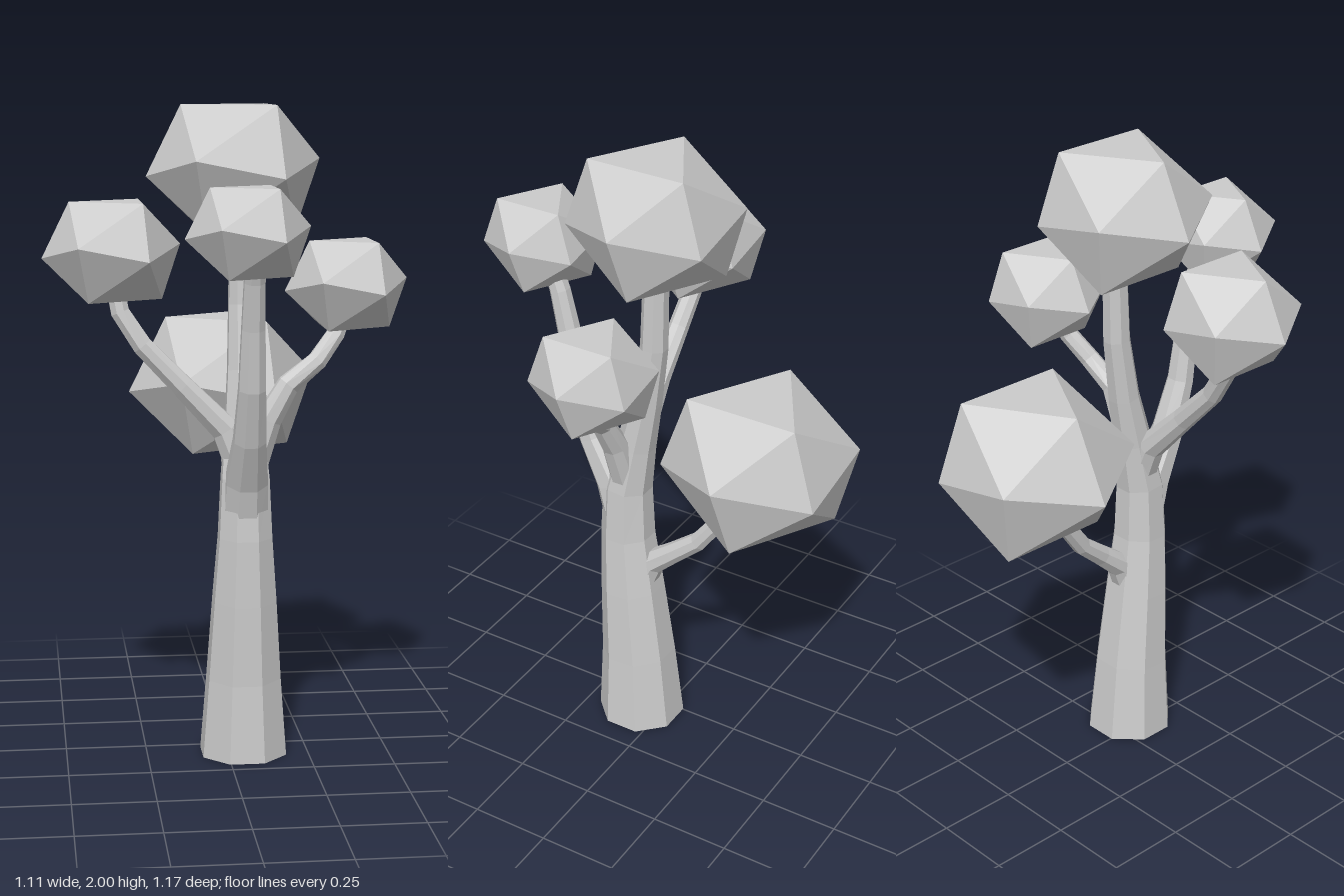
import * as THREE from 'three';
import { ConvexGeometry } from 'three/addons/geometries/ConvexGeometry.js';

const material = new THREE.MeshStandardMaterial({ color: 0xcccccc, flatShading: true });
const UP = new THREE.Vector3(0, 1, 0);

// Eight-sided limb swept along points given as [x, y, z, radius]
function limb(name, points, groundCut = false) {
  const path = points.map(p => new THREE.Vector3(p[0], p[1], p[2]));
  const last = path.length - 1;
  const geo = new THREE.CylinderGeometry(1, 1, 1, 8, last);
  geo.rotateY(Math.PI / 8);
  const frames = path.map((p, i) => {
    const tangent = path[Math.min(i + 1, last)].clone().sub(path[Math.max(i - 1, 0)]).normalize();
    return new THREE.Quaternion().setFromUnitVectors(UP, groundCut && i === 0 ? UP : tangent);
  });
  const pos = geo.attributes.position;
  const v = new THREE.Vector3();
  for (let k = 0; k < pos.count; k++) {
    v.fromBufferAttribute(pos, k);
    const i = Math.round((v.y + 0.5) * last);
    v.y = 0;
    v.multiplyScalar(points[i][3]).applyQuaternion(frames[i]).add(path[i]);
    pos.setXYZ(k, v.x, v.y, v.z);
  }
  geo.computeVertexNormals();
  const mesh = new THREE.Mesh(geo, material);
  mesh.name = name;
  return mesh;
}

// Twenty-faced foliage ball: flat top triangle, zigzag hexagon belt, flat base triangle
function foliageGeometry() {
  const pts = [
    [-0.6, 0.71, 0], [0.43, 0.71, -0.6], [0.43, 0.71, 0.6],
    [0.74, -0.71, -0.08], [-0.35, -0.71, 0.49], [-0.35, -0.71, -0.7],
  ].map(p => new THREE.Vector3(...p));
  for (let i = 0; i < 6; i++) {
    const a = i * Math.PI / 3;
    pts.push(new THREE.Vector3(Math.cos(a), i % 2 ? -0.1 : 0.1, Math.sin(a)));
  }
  return new ConvexGeometry(pts);
}

export function createModel() {
  const tree = new THREE.Group();
  tree.name = 'tree';

  // Trunk, running on as the central stem
  tree.add(limb('trunk', [
    [0.05, 0, 0.075, 0.14], [0.05, 0.25, 0.085, 0.12], [0.05, 0.5, 0.105, 0.103],
    [0.05, 0.7, 0.12, 0.087], [0.05, 0.88, 0.118, 0.078], [0.05, 1.04, 0.085, 0.062],
    [0.05, 1.2, 0.05, 0.05], [0.05, 1.4, 0.02, 0.043], [0.05, 1.72, 0.01, 0.038],
  ], true));

  // Branches
  tree.add(limb('frontBranch', [
    [0.05, 0.74, 0.12, 0.072], [0.05, 0.88, 0.16, 0.068], [0.05, 1.02, 0.24, 0.052],
    [0.05, 1.18, 0.295, 0.043], [0.05, 1.36, 0.322, 0.037], [0.05, 1.5, 0.352, 0.033],
    [0.05, 1.58, 0.38, 0.03],
  ]));
  tree.add(limb('rightBranch', [
    [0.05, 0.88, 0.11, 0.05], [-0.01, 1.03, 0.11, 0.045], [-0.14, 1.165, 0.12, 0.036],
    [-0.26, 1.29, 0.12, 0.032], [-0.325, 1.39, 0.11, 0.03], [-0.345, 1.5, 0.1, 0.028],
  ]));
  tree.add(limb('leftBranch', [
    [0.06, 0.88, 0.11, 0.05], [0.12, 1.06, 0.12, 0.042], [0.18, 1.165, 0.125, 0.035],
    [0.27, 1.235, 0.11, 0.031], [0.33, 1.31, 0.075, 0.029], [0.37, 1.4, 0.04, 0.027],
  ]));
  tree.add(limb('backBranch', [
    [0.05, 0.5, 0.08, 0.05], [0.05, 0.61, 0.03, 0.042], [0.05, 0.675, -0.05, 0.034],
    [0.045, 0.745, -0.135, 0.03], [0.04, 0.84, -0.205, 0.028], [0.035, 0.96, -0.26, 0.026],
  ]));

  // Foliage balls: [name, x, y, z, belt radius]
  const ball = foliageGeometry();
  for (const [name, x, y, z, r] of [
    ['topFoliage', 0.022, 1.814, 0.03, 0.2625],
    ['backFoliage', 0.022, 1.111, -0.33, 0.297],
    ['rightFoliage', -0.35, 1.572, 0.103, 0.206],
    ['leftFoliage', 0.369, 1.458, 0.028, 0.188],
    ['frontFoliage', 0.022, 1.648, 0.425, 0.18],
  ]) {
    const mesh = new THREE.Mesh(ball, material);
    mesh.name = name;
    mesh.position.set(x, y, z);
    mesh.scale.setScalar(r);
    tree.add(mesh);
  }
  return tree;
}
